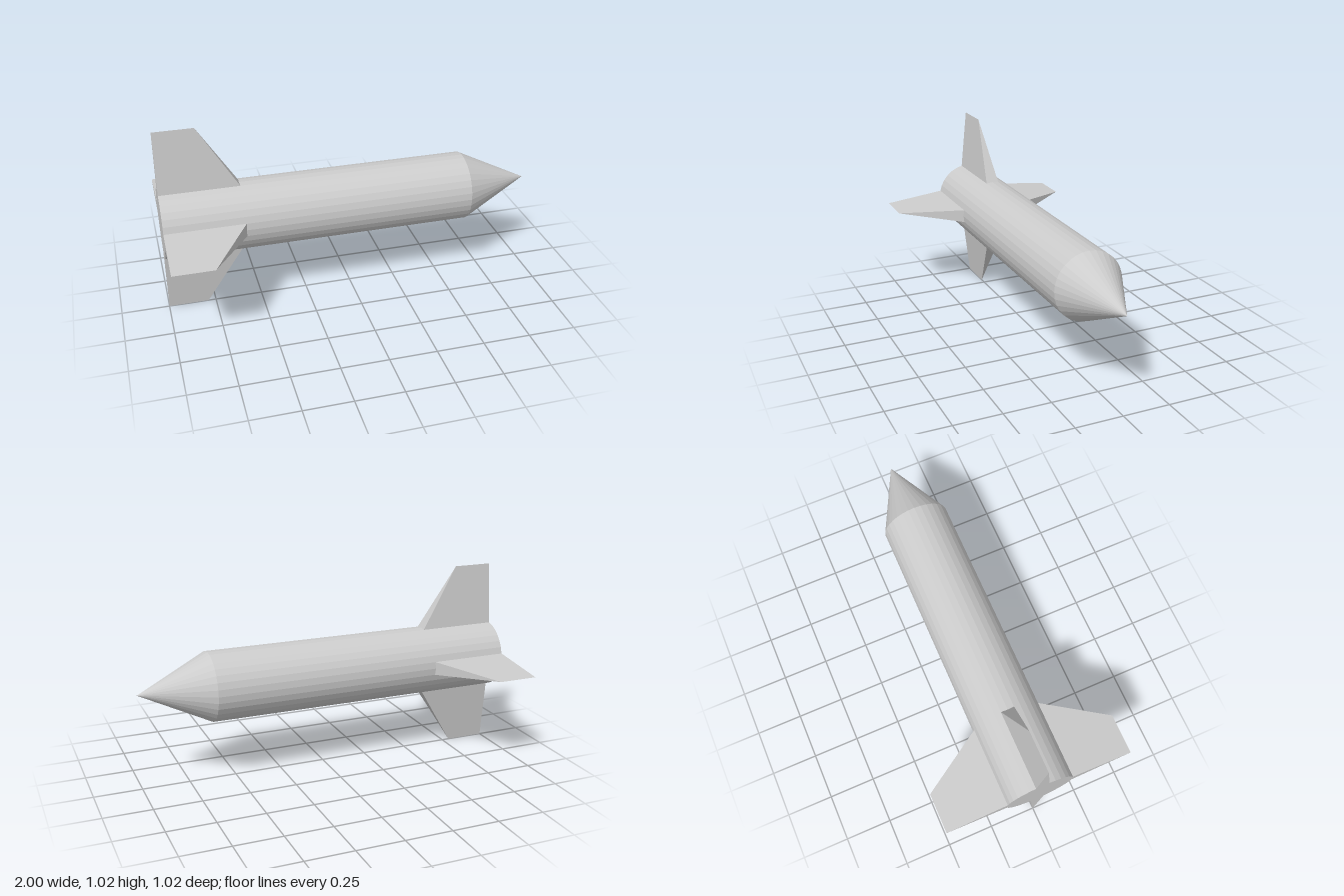
import * as THREE from 'three';

const AXIS_Y = 0.51;   // height of the body's axis
const RADIUS = 0.183;
const SIDES = 32;
const TAIL_X = -1, SHOULDER_X = 0.63, NOSE_X = 1;

// Wedge-shaped fin pointing up: thick at the root, knife-thin at the tip, swept leading edge
function finGeometry() {
  const root = 0.172, tip = 0.51, half = 0.037;
  const geometry = new THREE.BoxGeometry(1, 1, 1);
  const p = geometry.attributes.position;
  for (let i = 0; i < p.count; i++) {
    const outer = p.getY(i) > 0;
    const lead = outer ? -0.79 : -0.58;
    p.setXYZ(
      i,
      p.getX(i) > 0 ? lead : TAIL_X,
      outer ? tip : root,
      outer ? 0 : Math.sign(p.getZ(i)) * half
    );
  }
  geometry.computeVertexNormals();
  return geometry;
}

export function createModel() {
  const group = new THREE.Group();
  group.name = 'rocket';
  const material = new THREE.MeshStandardMaterial({ color: 0xcccccc, flatShading: true });

  const add = (name, geometry) => {
    const mesh = new THREE.Mesh(geometry, material);
    mesh.name = name;
    mesh.position.y = AXIS_Y;
    group.add(mesh);
    return mesh;
  };

  // Body tube, lying along x
  const length = SHOULDER_X - TAIL_X;
  add('body', new THREE.CylinderGeometry(RADIUS, RADIUS, length, SIDES)
    .rotateZ(-Math.PI / 2)
    .translate((SHOULDER_X + TAIL_X) / 2, 0, 0));

  // Pointed nose
  const noseLength = NOSE_X - SHOULDER_X;
  add('noseCone', new THREE.ConeGeometry(RADIUS, noseLength, SIDES, 1, true)
    .rotateZ(-Math.PI / 2)
    .translate((SHOULDER_X + NOSE_X) / 2, 0, 0));

  // Four tail fins around the axis
  const fin = finGeometry();
  ['topFin', 'frontFin', 'bottomFin', 'backFin'].forEach((name, i) => {
    add(name, fin).rotation.x = i * Math.PI / 2;
  });

  return group;
}
